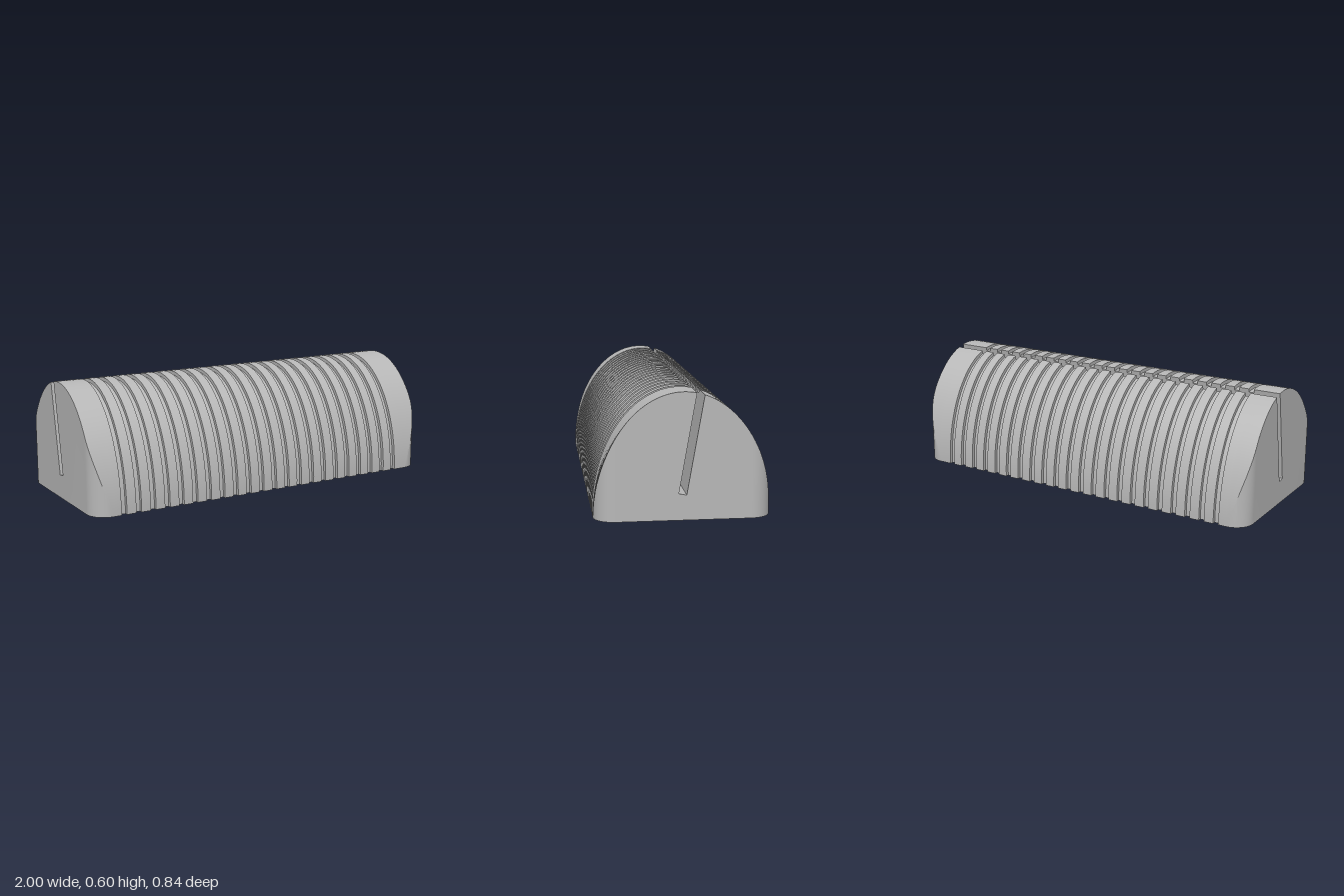
import * as THREE from 'three';
import { toCreasedNormals } from 'three/addons/utils/BufferGeometryUtils.js';

const HALF_DEPTH = 0.42, HEIGHT = 0.605, CORNER = 0.1;
const GROOVES = 22, PITCH = 0.079, GROOVE_WIDTH = 0.028, GROOVE_DEPTH = 0.018, FIRST_GROOVE = -0.859;
const TILT = THREE.MathUtils.degToRad(10);
const SLOT_FRONT = [0.025, 0.127], SLOT_BACK = [-0.012, 0.12]; // slot floor corners as [z, y]

// Angle on the half ellipse where a slot wall breaks through the surface
function slotAngle([z, y], a, h) {
  const dz = -Math.sin(TILT) / a, dy = Math.cos(TILT) / h, pz = z / a, py = y / h;
  const A = dz * dz + dy * dy, B = pz * dz + py * dy, C = pz * pz + py * py - 1;
  const s = (-B + Math.sqrt(B * B - A * C)) / A;
  return Math.atan2(py + s * dy, pz + s * dz);
}

// Cross-section as [z, y] points, front to back over the top, with the slot cut in.
// Its flanks are cut vertically at the half width w.
function section(inset, w) {
  const a = HALF_DEPTH - inset, h = HEIGHT - inset, n = 28;
  const cut = Math.acos(Math.min(1, w / a));
  const arc = (from, to) => Array.from({ length: n + 1 }, (_, i) => {
    const t = from + (to - from) * i / n;
    return [a * Math.cos(t), h * Math.sin(t)];
  });
  const edge = a * Math.cos(cut);
  return [
    [edge, 0], ...arc(cut, slotAngle(SLOT_FRONT, a, h)), SLOT_FRONT,
    SLOT_BACK, ...arc(slotAngle(SLOT_BACK, a, h), Math.PI - cut), [-edge, 0],
  ];
}

// Joins the cross-sections along x and closes both ends
function loft(stations) {
  const pos = [], va = new THREE.Vector3(), vb = new THREE.Vector3();
  const tri = (a, b, c) => {
    va.set(b[0] - a[0], b[1] - a[1], b[2] - a[2]);
    vb.set(c[0] - a[0], c[1] - a[1], c[2] - a[2]);
    if (va.cross(vb).length() > 1e-9) pos.push(...a, ...b, ...c);
  };
  const rings = stations.map(({ x, inset, w }) => section(inset, w).map(([z, y]) => [x, y, z]));
  const count = rings[0].length;
  for (let k = 0; k < rings.length - 1; k++) {
    const A = rings[k], B = rings[k + 1];
    for (let i = 0; i < count; i++) {
      const j = (i + 1) % count;
      tri(A[i], B[i], B[j]);
      tri(A[i], B[j], A[j]);
    }
  }
  for (const [ring, side] of [[rings[0], -1], [rings[rings.length - 1], 1]]) {
    const outline = ring.map(p => new THREE.Vector2(p[2], p[1]));
    for (const [i, j, k] of THREE.ShapeUtils.triangulateShape(outline, [])) {
      const turn = THREE.ShapeUtils.area([outline[i], outline[j], outline[k]]);
      if (turn * side < 0) tri(ring[i], ring[j], ring[k]);
      else tri(ring[i], ring[k], ring[j]);
    }
  }
  const geometry = new THREE.BufferGeometry();
  geometry.setAttribute('position', new THREE.Float32BufferAttribute(pos, 3));
  return toCreasedNormals(geometry, Math.PI / 7);
}

export function createModel() {
  const grey = new THREE.MeshStandardMaterial({ color: 0xb8b8b8 });
  grey.name = 'grey';

  // Rounded vertical corners at both ends
  const steps = 12;
  const corner = Array.from({ length: steps + 1 }, (_, i) => {
    const t = i / steps * Math.PI / 2;
    return { x: -1 + CORNER * (1 - Math.sin(t)), inset: 0, w: HALF_DEPTH - CORNER * (1 - Math.cos(t)) };
  });
  const stations = corner.slice().reverse().map(s => ({ ...s, x: -s.x }));
  const leftEnd = corner.map(s => ({ ...s })).reverse();
  leftEnd.sort((p, q) => p.x - q.x);
  stations.sort((p, q) => p.x - q.x);

  // Row of narrow grooves over the curved surface
  const grooves = [];
  for (let i = 0; i < GROOVES; i++) {
    const x0 = FIRST_GROOVE + i * PITCH, x1 = x0 + GROOVE_WIDTH;
    for (const [x, inset] of [[x0, 0], [x0, GROOVE_DEPTH], [x1, GROOVE_DEPTH], [x1, 0]]) {
      grooves.push({ x, inset, w: HALF_DEPTH });
    }
  }

  const body = new THREE.Mesh(loft([...leftEnd, ...grooves, ...stations]), grey);
  body.name = 'groovedSlottedBody';
  const group = new THREE.Group();
  group.name = 'groovedHolder';
  group.add(body);
  return group;
}
